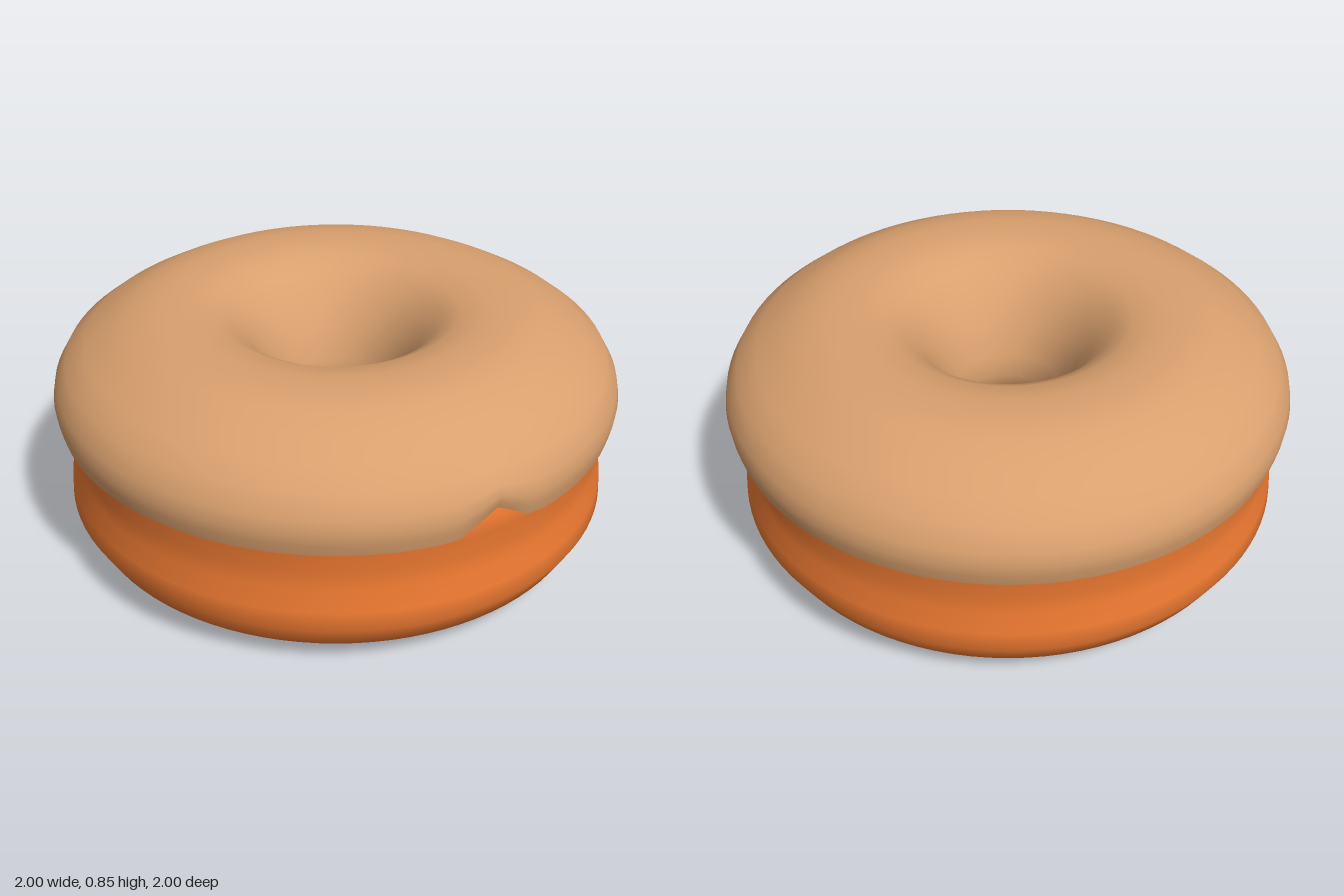
import * as THREE from 'three';
import { toCreasedNormals } from 'three/addons/utils/BufferGeometryUtils.js';

const SEGMENTS = 96;

// Ring swept around the vertical axis from [radius, height] pairs, seam at the back
function ring(profile) {
  const points = profile.map(([r, y]) => new THREE.Vector2(r, y));
  return new THREE.LatheGeometry(points, SEGMENTS, Math.PI, Math.PI * 2);
}

function part(name, geometry, color) {
  const material = new THREE.MeshStandardMaterial({ color, side: THREE.DoubleSide });
  const mesh = new THREE.Mesh(geometry, material);
  mesh.name = name;
  return mesh;
}

export function createModel() {
  const group = new THREE.Group();
  group.name = 'doughnut';

  // Dough: closed section with a slight waist and a funnel-shaped hole
  const dough = ring([
    [0.23, 0.42], [0.245, 0.35], [0.275, 0.28], [0.33, 0.18], [0.41, 0.085],
    [0.5, 0.025], [0.6, 0.003], [0.7, 0.015], [0.8, 0.042], [0.92, 0.1],
    [0.97, 0.19], [0.965, 0.26], [0.952, 0.34], [0.952, 0.41], [0.965, 0.48],
    [0.97, 0.54], [0.95, 0.61], [0.88, 0.69], [0.7, 0.78], [0.5, 0.79],
    [0.38, 0.72], [0.28, 0.58], [0.23, 0.42],
  ]);
  group.add(part('dough', dough, 0xf27c33));

  // Icing: cap with a thin lip outside, running down into the hole
  const icing = ring([
    [0.95, 0.5], [0.985, 0.5], [0.995, 0.54], [1, 0.58], [0.99, 0.63],
    [0.95, 0.7], [0.88, 0.755], [0.8, 0.8], [0.72, 0.84], [0.63, 0.855],
    [0.52, 0.855], [0.43, 0.84], [0.37, 0.805], [0.3, 0.73], [0.24, 0.63],
    [0.195, 0.52], [0.18, 0.44], [0.2, 0.37], [0.265, 0.28], [0.285, 0.29],
  ]);

  // Raise the outer edge in one small notch at the front
  const pos = icing.attributes.position;
  for (let i = 0; i < pos.count; i++) {
    const x = pos.getX(i), y = pos.getY(i), z = pos.getZ(i);
    if (Math.hypot(x, z) < 0.9) continue;
    const away = (Math.atan2(x, z) + 0.39) / 0.085;
    const fade = 1 - Math.min(1, Math.max(0, (y - 0.5) / 0.22));
    pos.setY(i, y + 0.085 * Math.exp(-away * away) * fade);
  }
  group.add(part('icing', toCreasedNormals(icing, 0.9), 0xd9a06e));

  return group;
}
